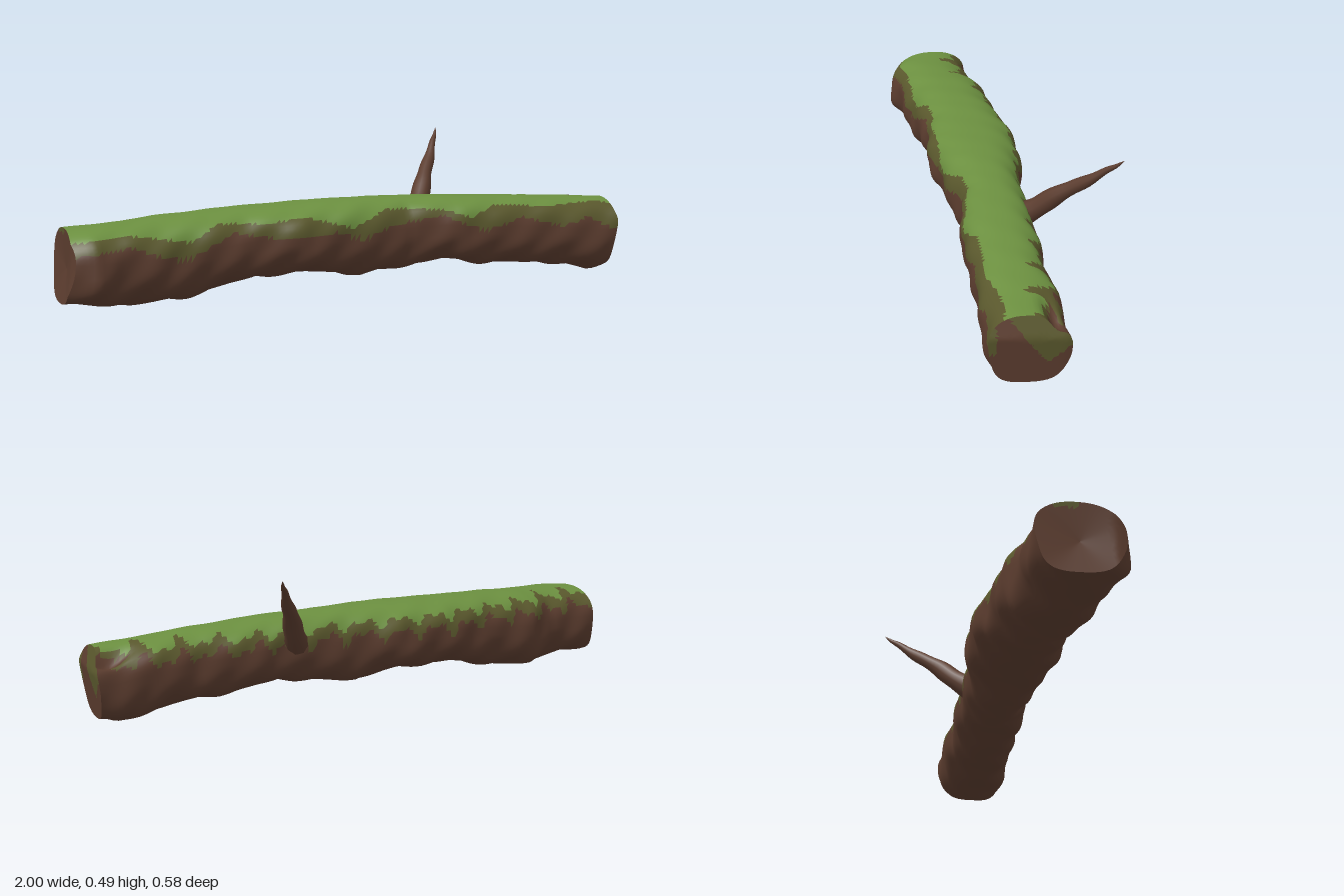
import * as THREE from 'three';

const material = (name, color, side = THREE.FrontSide) => {
  const m = new THREE.MeshStandardMaterial({ color, side });
  m.name = name;
  return m;
};

// Outline of the log along its length, as [x, value] pairs
const TOP = [[-1, .274], [-.8, .284], [-.5, .3], [0, .313], [.3, .309], [.6, .295], [1, .27]];
const BOTTOM = [[-1, .03], [-.7, .01], [-.6, .016], [-.5, .035], [-.35, .068], [-.1, .07], [.05, .045],
  [.2, .062], [.35, .084], [.5, .06], [.75, .048], [.85, .03], [.94, .01], [1, .03]];
const BACK = [[-1, -.02], [-.8, -.02], [-.7, -.06], [-.5, -.06], [-.3, -.086], [-.1, -.08], [0, -.055],
  [.1, -.042], [.3, -.03], [.5, -.03], [.65, -.015], [.8, -.03], [1, -.018]];
const FRONT = [[-1, .26], [-.94, .29], [-.85, .268], [-.6, .24], [-.4, .22], [-.2, .236], [0, .21],
  [.2, .18], [.4, .215], [.6, .214], [.8, .222], [1, .23]];

// Lower edges of the moss on the front: bright moss and dark moss
const MOSS = [[-1, .24], [-.8, .255], [-.6, .22], [-.5, .27], [-.35, .26], [-.2, .275], [-.03, .23],
  [.1, .28], [.3, .27], [.4, .24], [.5, .275], [.7, .26], [.9, .265], [1, .25]];
const DARK_MOSS = [[-1, .2], [-.8, .22], [-.65, .17], [-.6, .17], [-.45, .24], [-.3, .21], [-.1, .22],
  [0, .19], [.1, .22], [.3, .25], [.45, .19], [.6, .23], [.75, .19], [.85, .22], [.95, .17], [1, .2]];

function sample(table, x) {
  let i = 1;
  while (i < table.length - 1 && table[i][0] < x) i++;
  const [x0, a] = table[i - 1], [x1, b] = table[i];
  return a + (b - a) * THREE.MathUtils.clamp((x - x0) / (x1 - x0), 0, 1);
}

// Irregular cut planes of the two ends
const leftX = (y, z) => -1 + .08 * Math.max(0, y - .03) + .4 * Math.max(0, z - .23);
const rightX = (y, z) => 1 - .15 * Math.max(0, z) - .15 * Math.max(0, .2 - y) - .3 * Math.max(0, y - .2);

// Point on the bark: u runs along the log, v runs around it
function barkPoint(u, v) {
  const x = u * 2 - 1, a = v * Math.PI * 2;
  const top = sample(TOP, x), bottom = sample(BOTTOM, x);
  const back = sample(BACK, x), front = sample(FRONT, x);
  const c = Math.cos(a), s = Math.sin(a);
  const power = s > 0 ? .72 : .88;
  const damp = 1 - .85 * Math.max(0, s);
  const lump = 1 + damp * (.03 * Math.sin(x * 24 + 3 * a) + .025 * Math.sin(x * 41 - 5 * a) - .02);
  let y = (top + bottom) / 2 + (top - bottom) / 2 * Math.sign(s) * Math.abs(s) ** power * lump;
  const z = (front + back) / 2 + (front - back) / 2 * Math.sign(c) * Math.abs(c) ** .86 * lump;
  // broken notch in the top of one end
  if (s > 0) y -= .045 * Math.exp(-(((x - .95) / .06) ** 2) - ((z - .025) / .025) ** 2);
  return [THREE.MathUtils.lerp(leftX(y, z), rightX(y, z), u), Math.max(0, y), z];
}

// Cut end: u runs from the rim to the centre
function capPoint(end, u, v) {
  const [rx, ry, rz] = barkPoint(end, v);
  const cy = .145, cz = end ? .105 : .12;
  const y = ry + (cy - ry) * u, z = rz + (cz - rz) * u;
  const x = end ? rightX(y, z) : leftX(y, z) + .015 * u;
  return [u === 0 ? rx : x, y, z];
}

// Colour slot: 0 bark, 1 dark moss, 2 moss
function barkColour(x, y, z) {
  if (x > .87 && x < .975 && y > .2 && Math.abs(z - .025) < (x - .86) * .24) return 0;
  const jag = .012 * Math.sin(x * 47) + .01 * Math.sin(x * 91 + 1);
  const frontSide = z > .09;
  if (y > (frontSide ? sample(MOSS, x) : .262 + jag)) return 2;
  return y > (frontSide ? sample(DARK_MOSS, x) : .222 + jag * 1.4) ? 1 : 0;
}

function rightEndColour(x, y, z) {
  const patch = y > .11 + (z > .05 ? (z - .05) * 1.36 : (.05 - z));
  return patch && z < .16 || (z > .2 && y > .14) ? 1 : 0;
}

const leftEndColour = (x, y, z) => (y > .255 && z < .12 ? 1 : 0);

// Closed strip of rings, with each triangle sorted into a colour group
function ringSurface(rows, cols, point, colour, flip) {
  const pos = [], lists = [[], [], []];
  for (let i = 0; i <= rows; i++)
    for (let j = 0; j < cols; j++) pos.push(...point(i / rows, j / cols));
  const add = (a, b, c) => {
    const mid = [0, 1, 2].map(k => (pos[a * 3 + k] + pos[b * 3 + k] + pos[c * 3 + k]) / 3);
    lists[colour(...mid)].push(...(flip ? [a, c, b] : [a, b, c]));
  };
  for (let i = 0; i < rows; i++)
    for (let j = 0; j < cols; j++) {
      const k = (j + 1) % cols;
      const a = i * cols + j, b = a + cols, c = (i + 1) * cols + k, d = i * cols + k;
      add(a, b, c);
      add(a, c, d);
    }
  const g = new THREE.BufferGeometry();
  g.setAttribute('position', new THREE.Float32BufferAttribute(pos, 3));
  g.setIndex(lists.flat());
  let start = 0;
  lists.forEach((list, slot) => {
    g.addGroup(start, list.length, slot);
    start += list.length;
  });
  g.computeVertexNormals();
  return g;
}

// Tapering twig swept along a crooked path
function twigGeometry() {
  const path = new THREE.CatmullRomCurve3([
    [.27, .2, .02], [.315, .26, -.05], [.355, .32, -.105], [.385, .36, -.15],
    [.425, .405, -.2], [.455, .45, -.245], [.475, .472, -.27], [.49, .497, -.295],
  ].map(p => new THREE.Vector3(...p)));
  const rows = 24, sides = 10;
  const g = new THREE.TubeGeometry(path, rows, 1, sides, false);
  const p = g.attributes.position, v = new THREE.Vector3();
  for (let i = 0; i <= rows; i++) {
    const t = i / rows, centre = path.getPointAt(t);
    const r = .044 * (1 - t) ** .75 * (1 + .06 * Math.sin(t * 22));
    for (let j = 0; j <= sides; j++) {
      const n = i * (sides + 1) + j;
      v.fromBufferAttribute(p, n).sub(centre).multiplyScalar(r).add(centre);
      p.setXYZ(n, v.x, v.y, v.z);
    }
  }
  return g;
}

export function createModel() {
  const bark = material('bark brown', 0x5c3d2f);
  const darkMoss = material('dark moss', 0x5a582d);
  const moss = material('moss green', 0x6c9040);
  const colours = [bark, darkMoss, moss];

  const model = new THREE.Group();
  model.name = 'mossyLog';
  const add = (name, geometry, mat) => {
    const mesh = new THREE.Mesh(geometry, mat);
    mesh.name = name;
    model.add(mesh);
  };

  add('trunk', ringSurface(120, 56, barkPoint, barkColour, false), colours);
  add('rightCutEnd', ringSurface(10, 56, (u, v) => capPoint(1, u, v), rightEndColour, false), colours);
  add('leftCutEnd', ringSurface(10, 56, (u, v) => capPoint(0, u, v), leftEndColour, true), colours);
  add('twig', twigGeometry(), bark);
  return model;
}
